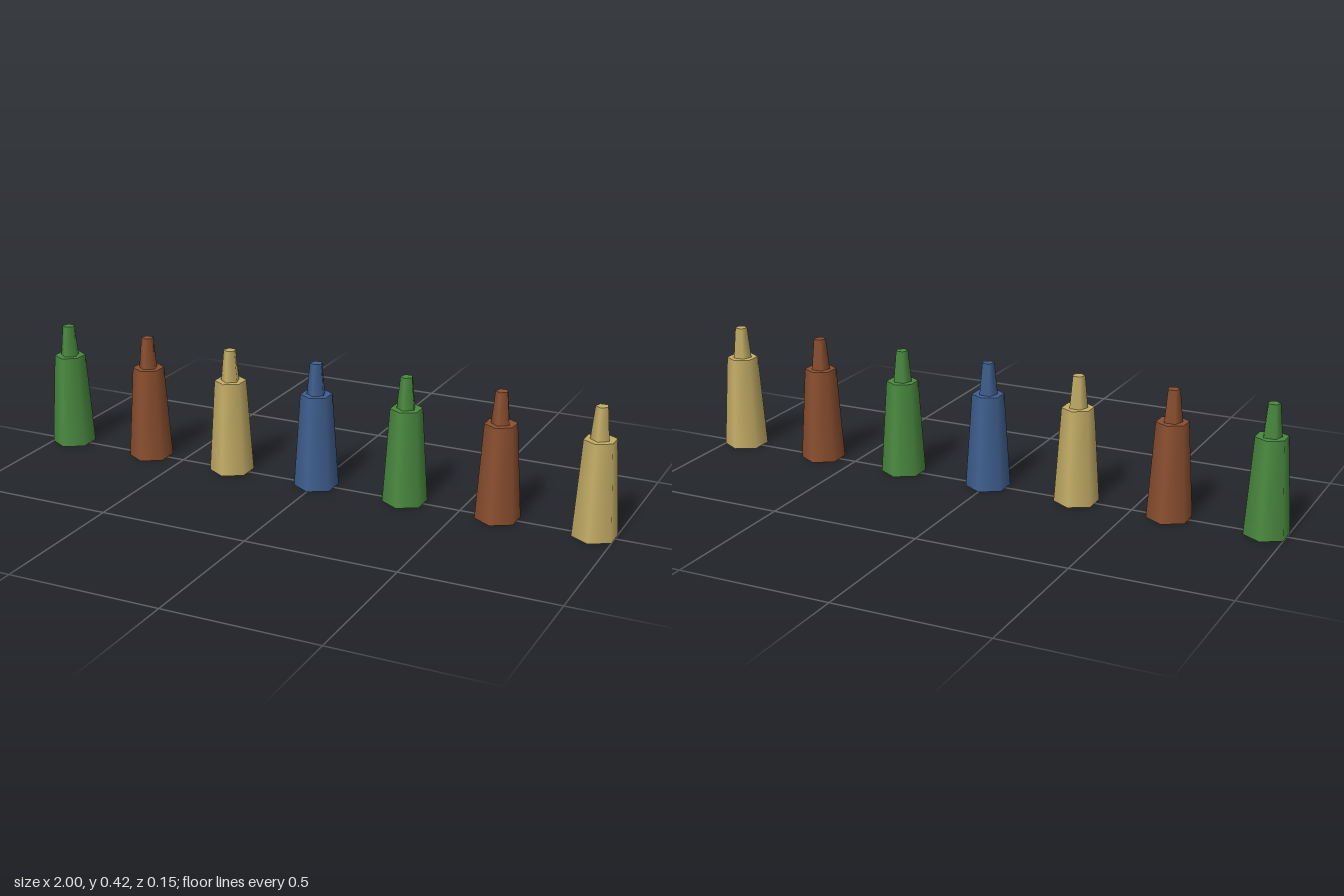
import * as THREE from 'three';

// Base unit: the row is 18 units between end centres, plus two hexagon half-widths
const U = 2 / (18 + 1.4 * Math.cos(Math.PI / 6));

export function createModel() {
  const model = new THREE.Group();
  model.name = 'bottleRow';

  const paint = (name, color) => {
    const m = new THREE.MeshStandardMaterial({ color });
    m.name = name;
    return m;
  };
  const green = paint('green', 0x4a8a3f);
  const brown = paint('brown', 0x8b4f2f);
  const tan = paint('tan', 0xc4ad66);
  const blue = paint('blue', 0x3f5f8f);

  // Six-sided tapered body and five-sided tapered neck, smooth around the sides
  const bodyShape = new THREE.CylinderGeometry(0.5 * U, 0.7 * U, 3 * U, 6);
  bodyShape.translate(0, 1.5 * U, 0);
  const neckShape = new THREE.CylinderGeometry(0.2 * U, 0.3 * U, U, 5);
  neckShape.translate(0, 3.5 * U, 0);

  // Seven bottles from the model's right to its left
  [green, brown, tan, blue, green, brown, tan].forEach((material, i) => {
    const bottle = new THREE.Group();
    bottle.name = 'bottle' + (i + 1);
    const body = new THREE.Mesh(bodyShape, material);
    body.name = 'body';
    const neck = new THREE.Mesh(neckShape, material);
    neck.name = 'neck';
    bottle.add(body, neck);
    bottle.position.x = (i - 3) * 3 * U;
    model.add(bottle);
  });

  return model;
}
